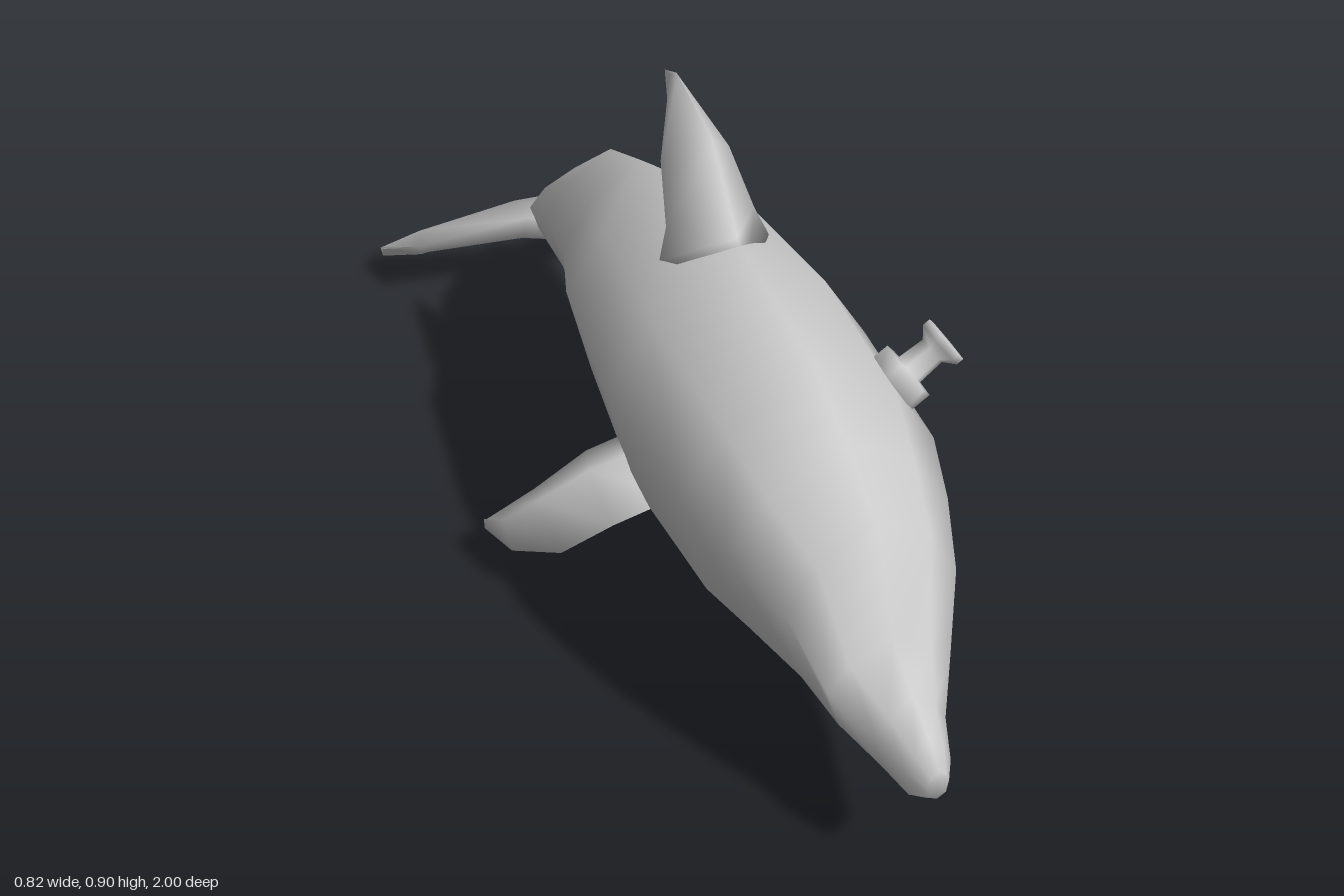
import * as THREE from 'three';

const material = new THREE.MeshStandardMaterial({ color: 0xcccccc });

// Skin over a row of rings with equal point counts; both ends are closed.
function loft(name, rings) {
  const n = rings[0].length;
  const points = rings.flat();
  const index = [];
  for (let r = 0; r < rings.length - 1; r++) {
    for (let i = 0; i < n; i++) {
      const a = r * n + i, b = r * n + (i + 1) % n;
      index.push(a, b, b + n, a, b + n, a + n);
    }
  }
  const last = (rings.length - 1) * n;
  for (let i = 1; i < n - 1; i++) {
    index.push(0, i + 1, i);
    index.push(last, last + i, last + i + 1);
  }
  // Turn the faces outward, whichever way the rings run.
  const v = points.map((p) => new THREE.Vector3(...p));
  const centre = v.reduce((s, p) => s.add(p), new THREE.Vector3()).divideScalar(v.length);
  v.forEach((p) => p.sub(centre));
  let volume = 0;
  for (let i = 0; i < index.length; i += 3) {
    volume += v[index[i]].dot(v[index[i + 1]].clone().cross(v[index[i + 2]]));
  }
  if (volume < 0) index.reverse();
  const geometry = new THREE.BufferGeometry();
  geometry.setAttribute('position', new THREE.Float32BufferAttribute(points.flat(), 3));
  geometry.setIndex(index);
  geometry.computeVertexNormals();
  const mesh = new THREE.Mesh(geometry, material);
  mesh.name = name;
  return mesh;
}

const mirrorX = (rings) => rings.map((ring) => ring.map(([x, y, z]) => [-x, y, z]));

// Eight-sided body section: ridge, shoulders, widest line, belly edges, keel.
function bodyRing([z, top, bottom, w]) {
  const h = top - bottom;
  const half = [[0.66, 0.8], [1, 0.56], [0.8, 0.16]];
  const side = (s) => half.map(([fx, fy]) => [s * fx * w, bottom + fy * h, z]);
  return [[0, top, z], ...side(1), [0, bottom, z], ...side(-1).reverse()];
}

export function createModel() {
  const model = new THREE.Group();
  model.name = 'inflatableDolphin';

  // Body: z, top, bottom, half width
  const stations = [
    [1.0, 0.295, 0.235, 0.018],
    [0.965, 0.325, 0.2, 0.038],
    [0.9, 0.36, 0.202, 0.06],
    [0.82, 0.41, 0.222, 0.105],
    [0.745, 0.59, 0.243, 0.145],
    [0.62, 0.65, 0.238, 0.19],
    [0.5, 0.712, 0.212, 0.222],
    [0.2, 0.735, 0.18, 0.236],
    [-0.1, 0.69, 0.235, 0.205],
    [-0.28, 0.61, 0.245, 0.15],
    [-0.43, 0.54, 0.25, 0.13],
    [-0.65, 0.36, 0.2, 0.096],
    [-0.72, 0.295, 0.165, 0.075],
    [-0.775, 0.22, 0.15, 0.02],
  ];
  model.add(loft('body', stations.map(bodyRing)));

  // Dorsal fin: front edge, side, back edge, side
  const fin = [
    [0.1, [0.66, 0.09], [0.69, 0.24], [0.66, -0.1]],
    [0.08, [0.71, 0.07], [0.745, 0.19], [0.7, -0.102]],
    [0.062, [0.795, 0.0], [0.868, 0.08], [0.79, -0.122]],
    [0.006, [0.895, -0.1], [0.905, -0.08], [0.88, -0.14]],
  ];
  model.add(loft('dorsalFin', fin.map(([w, s, f, b]) =>
    [[0, ...f], [w, ...s], [0, ...b], [-w, ...s]])));

  // Flipper: leading edge, top, trailing edge, underside
  const flipper = [
    [[0.14, 0.29, 0.27], [0.17, 0.34, 0.18], [0.17, 0.31, 0.1], [0.14, 0.25, 0.18]],
    [[0.25, 0.245, 0.25], [0.26, 0.3, 0.16], [0.24, 0.28, 0.085], [0.23, 0.21, 0.16]],
    [[0.33, 0.165, 0.2], [0.345, 0.225, 0.12], [0.33, 0.2, 0.06], [0.31, 0.155, 0.12]],
    [[0.39, 0.105, 0.1], [0.395, 0.15, 0.065], [0.38, 0.145, 0.03], [0.375, 0.11, 0.07]],
    [[0.412, 0.087, 0.006], [0.411, 0.105, 0.002], [0.409, 0.1, 0], [0.408, 0.087, 0.003]],
  ];
  model.add(loft('leftFlipper', flipper), loft('rightFlipper', mirrorX(flipper)));

  // Tail fluke: leading edge, top, trailing edge, underside
  const fluke = [
    [[0, 0.25, -0.64], [0, 0.265, -0.71], [0, 0.15, -0.765], [0, 0.15, -0.7]],
    [[0.09, 0.235, -0.69], [0.09, 0.22, -0.78], [0.07, 0.095, -0.86], [0.08, 0.13, -0.77]],
    [[0.3, 0.165, -0.77], [0.27, 0.125, -0.88], [0.25, 0.004, -0.963], [0.27, 0.075, -0.87]],
    [[0.345, 0.085, -0.9], [0.338, 0.05, -0.955], [0.325, 0.002, -1], [0.337, 0.035, -0.945]],
  ];
  model.add(loft('leftFluke', fluke), loft('rightFluke', mirrorX(fluke)));

  // Air valve: hexagonal collar, stem and flared cap
  const profile = [
    [0, -0.06], [0.055, -0.06], [0.055, 0], [0.028, 0.002], [0.025, 0.05],
    [0.044, 0.066], [0.044, 0.08], [0, 0.08],
  ].map(([r, y]) => new THREE.Vector2(r, y));
  const valve = new THREE.Mesh(new THREE.LatheGeometry(profile, 6), material);
  valve.name = 'airValve';
  valve.position.set(0.202, 0.59, 0.435);
  valve.quaternion.setFromUnitVectors(
    new THREE.Vector3(0, 1, 0), new THREE.Vector3(0.82, 0.57, 0).normalize());
  model.add(valve);

  return model;
}
